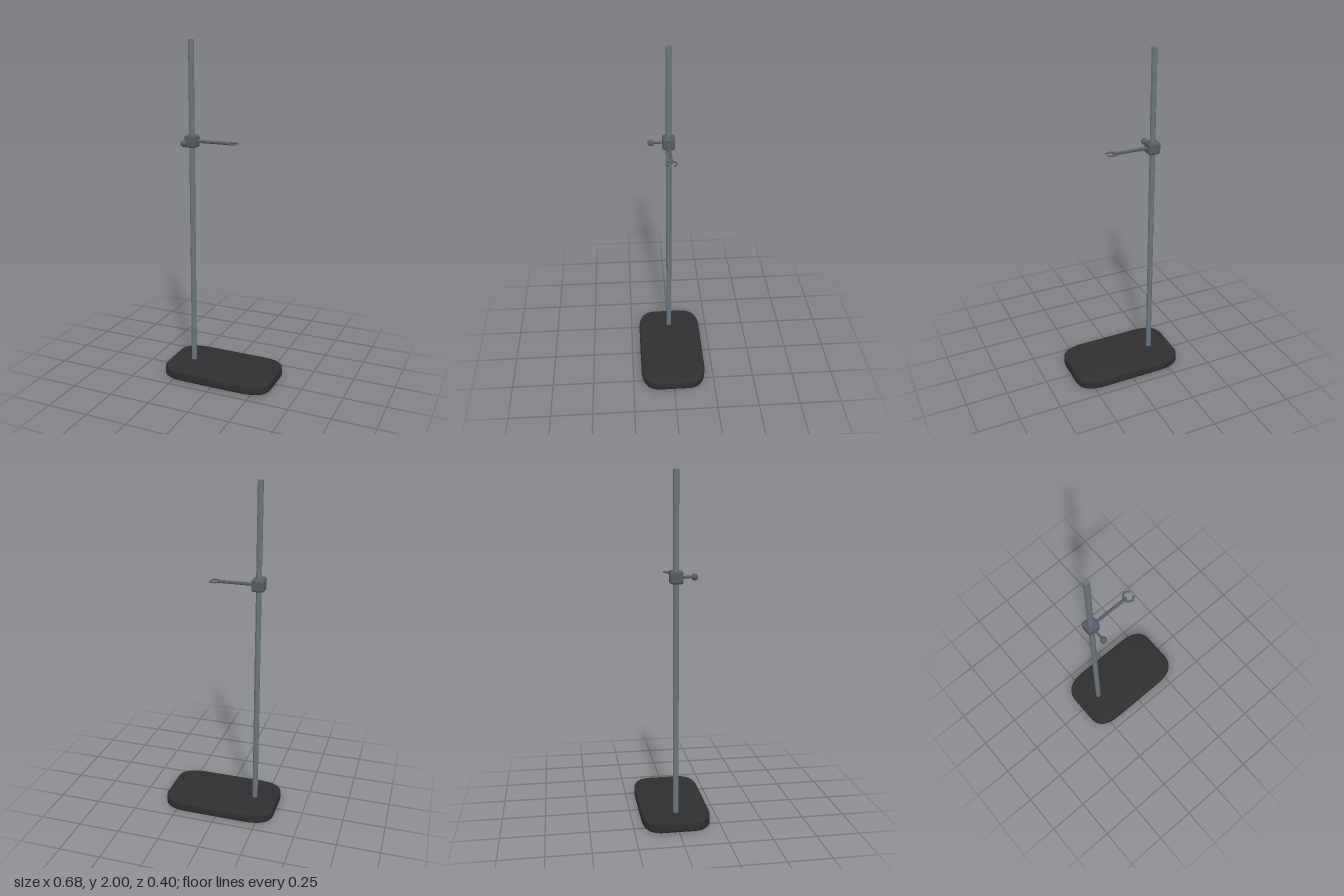
import * as THREE from 'three';
import { toCreasedNormals } from 'three/addons/utils/BufferGeometryUtils.js';
import { RoundedBoxGeometry } from 'three/addons/geometries/RoundedBoxGeometry.js';

const ROD_X = -0.2, CLAMP_Y = 1.43;

export function createModel() {
  const model = new THREE.Group();
  model.name = 'clampStand';
  const baseMat = new THREE.MeshStandardMaterial({ color: 0x2e2f31 });
  const rodMat = new THREE.MeshStandardMaterial({ color: 0x6b747d });
  const clampMat = new THREE.MeshStandardMaterial({ color: 0x555c63 });

  const add = (name, geometry, material, x, y, z, parent = model) => {
    const mesh = new THREE.Mesh(geometry, material);
    mesh.name = name;
    mesh.position.set(x, y, z);
    parent.add(mesh);
    return mesh;
  };

  // Base plate: soft rectangle with wide curved corners and rounded edges
  const w = 0.34, d = 0.198, fx = 0.18, fz = 0.085, height = 0.064, bevel = 0.014;
  const outline = new THREE.Shape();
  outline.moveTo(-fx, -d);
  outline.lineTo(fx, -d);
  outline.quadraticCurveTo(w, -d, w, -fz);
  outline.lineTo(w, fz);
  outline.quadraticCurveTo(w, d, fx, d);
  outline.lineTo(-fx, d);
  outline.quadraticCurveTo(-w, d, -w, fz);
  outline.lineTo(-w, -fz);
  outline.quadraticCurveTo(-w, -d, -fx, -d);
  const plate = new THREE.ExtrudeGeometry(outline, {
    depth: height - 2 * bevel, curveSegments: 14,
    bevelThickness: bevel, bevelSize: bevel, bevelOffset: -bevel, bevelSegments: 5,
  });
  plate.translate(0, 0, bevel).rotateX(-Math.PI / 2);
  add('base', toCreasedNormals(plate, 0.7), baseMat, 0, 0, 0);

  // Upright rod
  const rodBottom = 0.03, rodTop = 2;
  add('uprightRod', new THREE.CylinderGeometry(0.016, 0.016, rodTop - rodBottom, 32),
    rodMat, ROD_X, (rodBottom + rodTop) / 2, 0);

  // Clamp assembly, centred on the rod
  const clamp = new THREE.Group();
  clamp.name = 'clamp';
  clamp.position.set(ROD_X, CLAMP_Y, 0);
  model.add(clamp);
  add('clampBlock', new RoundedBoxGeometry(0.072, 0.072, 0.072, 5, 0.013), clampMat, 0, 0, 0, clamp);

  // Thumb screw with ball knob, towards the front
  const screw = new THREE.CylinderGeometry(0.007, 0.007, 0.07, 20).rotateX(Math.PI / 2);
  add('thumbScrew', screw, clampMat, 0, 0, 0.06, clamp);
  add('screwKnob', new THREE.SphereGeometry(0.019, 28, 18), clampMat, 0, 0, 0.102, clamp);

  // Arm reaching sideways
  const arm = new THREE.CylinderGeometry(0.009, 0.009, 0.223, 24).rotateZ(Math.PI / 2);
  add('arm', arm, clampMat, 0.1315, 0, 0, clamp);

  // Open ring jaw at the end of the arm, gap pointing away from the rod
  const ringR = 0.0285, tubeR = 0.005, gap = Math.PI / 6;
  const jaw = new THREE.Group();
  jaw.name = 'jaw';
  jaw.position.set(0.255, 0, 0);
  clamp.add(jaw);
  const ring = new THREE.TorusGeometry(ringR, tubeR, 14, 48, 2 * (Math.PI - gap));
  ring.rotateZ(gap).rotateX(Math.PI / 2);
  add('jawRing', ring, clampMat, 0, 0, 0, jaw);
  for (const side of [1, -1]) {
    const cap = add('jawTip', new THREE.CircleGeometry(tubeR, 14), clampMat,
      ringR * Math.cos(gap), 0, side * ringR * Math.sin(gap), jaw);
    cap.rotation.y = Math.atan2(Math.sin(gap), -side * Math.cos(gap));
  }

  return model;
}
